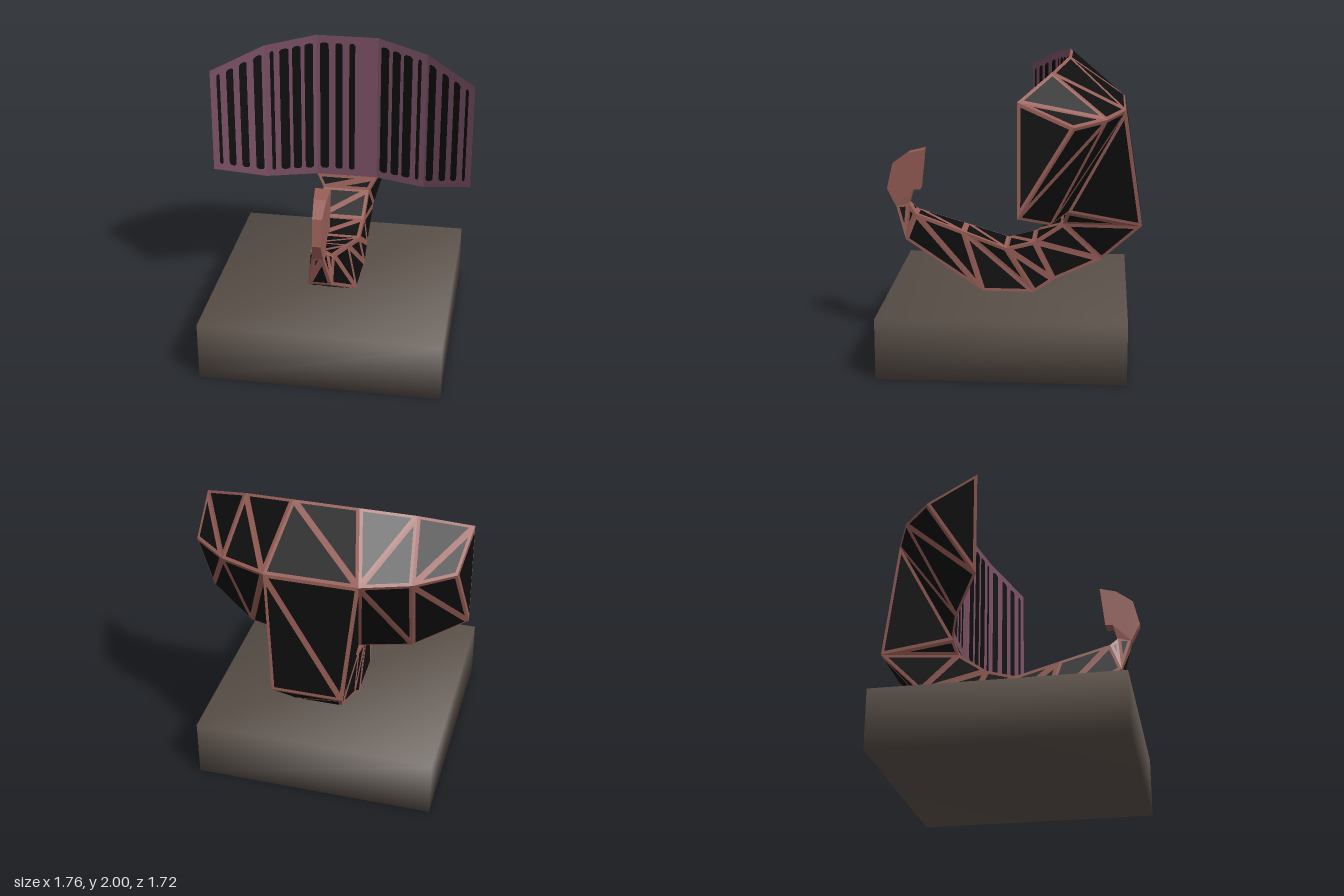
import * as THREE from 'three';
import { mergeVertices } from 'three/addons/utils/BufferGeometryUtils.js';

const mat = (name, color, side = THREE.FrontSide) => {
  const m = new THREE.MeshStandardMaterial({ color, side });
  m.name = name;
  return m;
};
const V = (x, y, z) => new THREE.Vector3(x, y, z);
const mean = (pts) => pts.reduce((s, p) => s.add(p), V(0, 0, 0)).divideScalar(pts.length);

// Collects loose triangles and turns them into a flat-shaded mesh
class Faces {
  constructor() { this.p = []; }
  tri(a, b, c) { this.p.push(...a.toArray(), ...b.toArray(), ...c.toArray()); }
  mesh(name, material) {
    const g = new THREE.BufferGeometry();
    g.setAttribute('position', new THREE.Float32BufferAttribute(this.p, 3));
    g.computeVertexNormals();
    const m = new THREE.Mesh(g, material);
    m.name = name;
    return m;
  }
}

// A truss facet: a frame triangle with a dark inset plate just above it
const BORDER = 0.02, LIFT = 0.004;
function facet(frame, plate, inside, a, b, c) {
  const n = b.clone().sub(a).cross(c.clone().sub(a));
  if (n.dot(mean([a, b, c]).sub(inside)) < 0) {
    [b, c] = [c, b];
    n.negate();
  }
  frame.tri(a, b, c);
  const la = b.distanceTo(c), lb = c.distanceTo(a), lc = a.distanceTo(b), per = la + lb + lc;
  const r = n.length() / per;
  if (r <= BORDER * 1.1) return;
  const centre = V(0, 0, 0).addScaledVector(a, la / per).addScaledVector(b, lb / per).addScaledVector(c, lc / per);
  const lift = n.clone().normalize().multiplyScalar(LIFT);
  plate.tri(...[a, b, c].map((v) => v.clone().lerp(centre, BORDER / r).add(lift)));
}
function facetQuad(frame, plate, inside, a, b, c, d) {
  facet(frame, plate, inside, a, b, c);
  facet(frame, plate, inside, a, c, d);
}

export function createModel() {
  const group = new THREE.Group();
  const stone = mat('stone', 0x5a5049);
  const copper = mat('copper', 0x965d56);
  const black = mat('black', 0x0e0e0e);
  const plum = mat('plum', 0x7a5064);

  // Base slab with softened shading
  let slab = new THREE.BoxGeometry(1.6, 0.4, 1.6);
  slab.deleteAttribute('uv');
  slab.deleteAttribute('normal');
  slab = mergeVertices(slab);
  slab.computeVertexNormals();
  const base = new THREE.Mesh(slab, stone);
  base.name = 'base';
  base.position.set(0, 0.2, 0.03);
  group.add(base);

  // Dish cross-sections on one side: front top, rear top, front bottom
  const half = [
    [V(0.88, 1.81, -0.08), V(0.84, 1.65, -0.42), V(0.88, 1.09, -0.08)],
    [V(0.55, 1.94, -0.27), V(0.6, 1.66, -0.62), V(0.55, 0.97, -0.27)],
    [V(0.21, 2.0, -0.37), V(0.3, 1.67, -0.74), V(0.21, 0.97, -0.37)],
  ];
  const flip = (p) => V(-p.x, p.y, p.z);
  const sections = [...half, ...half.slice().reverse().map((s) => s.map(flip))];
  const dishFrame = new Faces(), dishPlates = new Faces(), grille = new Faces();
  const heel = V(0.23, 0.89, -0.86), heelR = flip(heel);

  for (let i = 0; i < 5; i++) {
    const [s, t] = i < 3 ? [sections[i], sections[i + 1]] : [sections[i + 1], sections[i]];
    const inside = mean([...s, ...t]);
    facetQuad(dishFrame, dishPlates, inside, s[0], s[1], t[1], t[0]);
    if (i === 2) facetQuad(dishFrame, dishPlates, inside, s[1], heel, heelR, t[1]);
    else facetQuad(dishFrame, dishPlates, inside, s[2], t[2], t[1], s[1]);
    // Front wall, left to right as seen from the front
    const [l, r] = [sections[i + 1], sections[i]];
    grille.tri(l[2], r[2], r[0]);
    grille.tri(l[2], r[0], l[0]);
  }
  // Dish ends and the sides of the rear spine
  for (const s of [sections[0], sections[5]]) facet(dishFrame, dishPlates, V(0, 1.4, -0.2), ...s);
  facet(dishFrame, dishPlates, V(0, 1.2, -0.5), half[2][1], half[2][2], heel);
  facet(dishFrame, dishPlates, V(0, 1.2, -0.5), flip(half[2][1]), flip(half[2][2]), heelR);
  group.add(dishFrame.mesh('dishFrame', copper), dishPlates.mesh('dishPlates', black), grille.mesh('grille', plum));

  // Slots in the grille: centre x and width
  const side = [[0.83, 0.02], [0.76, 0.042], [0.68, 0.046], [0.59, 0.05], [0.5, 0.024], [0.42, 0.06], [0.34, 0.055], [0.26, 0.055]];
  const slotList = [...side, ...side.map(([x, w]) => [-x, w]), [-0.155, 0.06], [-0.055, 0.05], [0.035, 0.04]];
  const edge = (x, k) => {
    const ax = Math.abs(x);
    const i = ax > 0.55 ? 0 : 1;
    const a = half[i][k], b = half[i + 1][k];
    const q = a.clone().lerp(b, Math.min(1, (a.x - ax) / (a.x - b.x)));
    return V(x, q.y, q.z + 0.005);
  };
  const slots = new Faces();
  for (const [x, w] of slotList) {
    const at = (dx, k, inset) => {
      const p = edge(x + dx, k);
      p.y += k === 0 ? -inset : inset;
      return p;
    };
    const h = w / 2, q = w / 4;
    const ring = [at(-q, 2, 0.05), at(q, 2, 0.05), at(h, 2, 0.062), at(h, 0, 0.062),
      at(q, 0, 0.05), at(-q, 0, 0.05), at(-h, 0, 0.062), at(-h, 2, 0.062)];
    for (let i = 1; i < 7; i++) slots.tri(ring[0], ring[i], ring[i + 1]);
  }
  group.add(slots.mesh('grilleSlots', black));

  // Curved boom: upper half-width, y, z and lower half-width, y, z
  const boom = [
    [0.21, 0.97, -0.37, 0.23, 0.89, -0.86],
    [0.16, 0.88, -0.34, 0.16, 0.64, -0.6],
    [0.155, 0.75, -0.15, 0.16, 0.49, -0.28],
    [0.15, 0.7, 0.04, 0.16, 0.4, -0.15],
    [0.115, 0.8, 0.33, 0.155, 0.4, 0.2],
    [0.075, 0.91, 0.66, 0.075, 0.73, 0.73],
    [0.035, 0.97, 0.71, 0.03, 0.96, 0.8],
  ].map(([u, uy, uz, l, ly, lz]) => [V(u, uy, uz), V(-u, uy, uz), V(-l, ly, lz), V(l, ly, lz)]);
  const boomFrame = new Faces(), boomPlates = new Faces();
  for (let i = 0; i < boom.length - 1; i++) {
    const s = boom[i], t = boom[i + 1], inside = mean([...s, ...t]);
    for (let k = 0; k < 4; k++) {
      const m = (k + 1) % 4;
      // Side walls share the same diagonal on both sides
      if (k === 1) facetQuad(boomFrame, boomPlates, inside, s[2], s[1], t[1], t[2]);
      else facetQuad(boomFrame, boomPlates, inside, s[k], s[m], t[m], t[k]);
    }
  }
  group.add(boomFrame.mesh('boomFrame', copper), boomPlates.mesh('boomPlates', black));

  // Feed horn: side outline given thickness, tapering toward the front
  const outline = [[0.71, 0.96], [0.8, 0.95], [0.86, 1.07], [0.82, 1.24], [0.71, 1.32], [0.6, 1.345], [0.63, 1.07], [0.68, 1.07]];
  const shape = new THREE.Shape(outline.map(([z, y]) => new THREE.Vector2(z, y)));
  const hornGeo = new THREE.ExtrudeGeometry(shape, { depth: 1, bevelEnabled: false });
  const pos = hornGeo.attributes.position;
  for (let i = 0; i < pos.count; i++) {
    const z = pos.getX(i), y = pos.getY(i);
    const w = y < 1 ? 0.033 : THREE.MathUtils.mapLinear(z, 0.6, 0.86, 0.05, 0.027);
    pos.setXYZ(i, (0.5 - pos.getZ(i)) * 2 * w, y, z);
  }
  hornGeo.computeVertexNormals();
  const horn = new THREE.Mesh(hornGeo, copper);
  horn.name = 'feedHorn';
  group.add(horn);

  return group;
}
